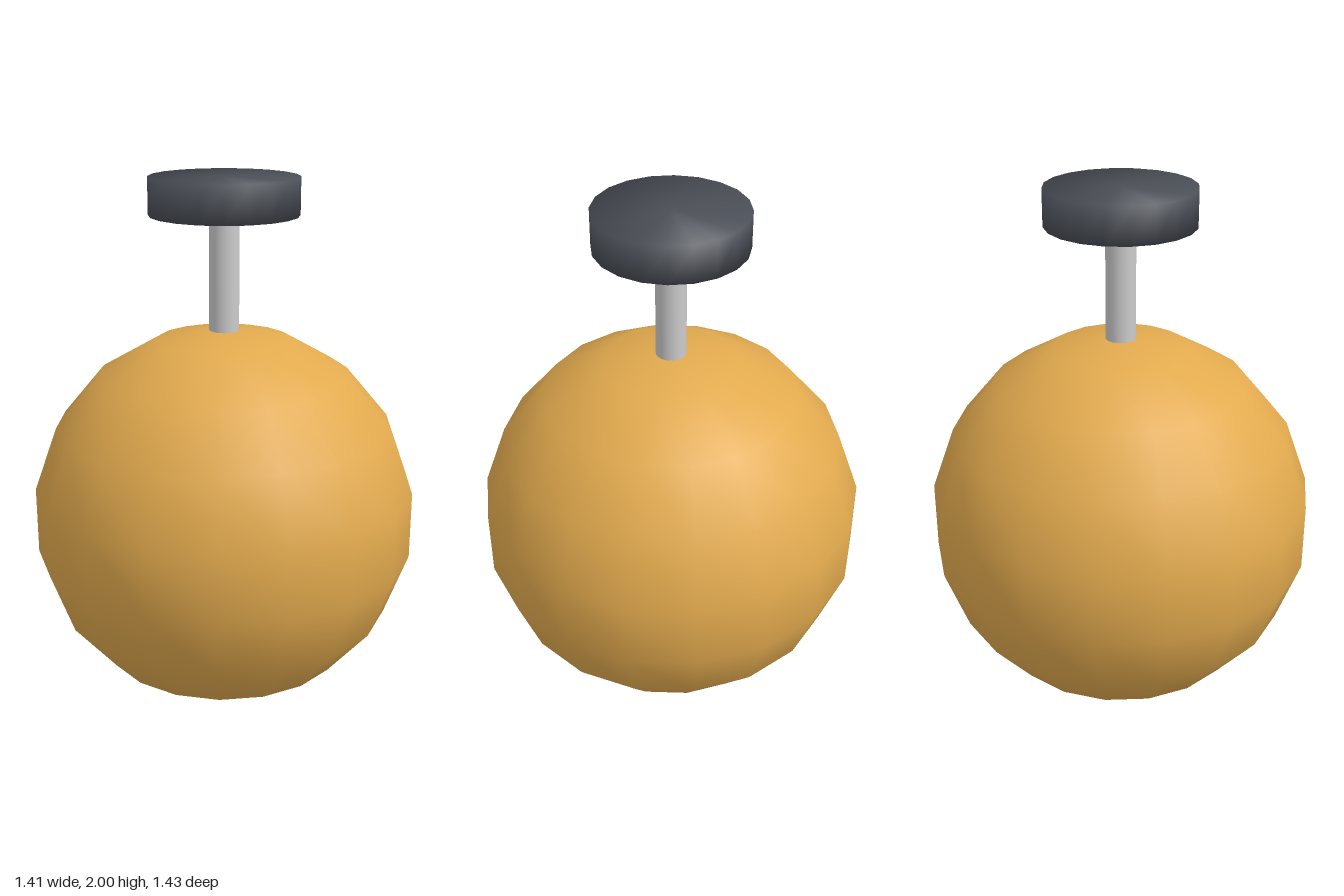
import * as THREE from 'three';

const SPHERE_Y = 0.73;
const SPHERE_R = 0.726;

function addPart(group, name, geometry, color, y) {
  const mesh = new THREE.Mesh(geometry, new THREE.MeshStandardMaterial({ color }));
  mesh.name = name;
  mesh.position.y = y;
  group.add(mesh);
}

// Short cylinder whose normals tilt 45 degrees at both rims, so it shades like a soft puck
function softPuck(radius, height, sides) {
  const geometry = new THREE.CylinderGeometry(radius, radius, height, sides);
  const { position, normal } = geometry.attributes;
  const n = new THREE.Vector3();
  for (let i = 0; i < position.count; i++) {
    n.set(position.getX(i) / radius, Math.sign(position.getY(i)), position.getZ(i) / radius).normalize();
    normal.setXYZ(i, n.x, n.y, n.z);
  }
  return geometry;
}

export function createModel() {
  const group = new THREE.Group();
  group.name = 'ballWithKnob';

  // Faceted ball with smooth shading, turned so that vertices lie on the z axis
  const ball = new THREE.SphereGeometry(SPHERE_R, 18, 9).rotateY(Math.PI / 2);
  addPart(group, 'ball', ball, 0xe2aa4e, SPHERE_Y);

  // Thin rod, sunk slightly into the ball and the knob
  const rodBottom = 1.43;
  const rodTop = 1.9;
  const rod = new THREE.CylinderGeometry(0.055, 0.055, rodTop - rodBottom, 20);
  addPart(group, 'rod', rod, 0xcccccc, (rodBottom + rodTop) / 2);

  // Flat round knob on top
  addPart(group, 'knob', softPuck(0.272, 0.135, 20), 0x4a4e56, 1.9325);

  return group;
}
